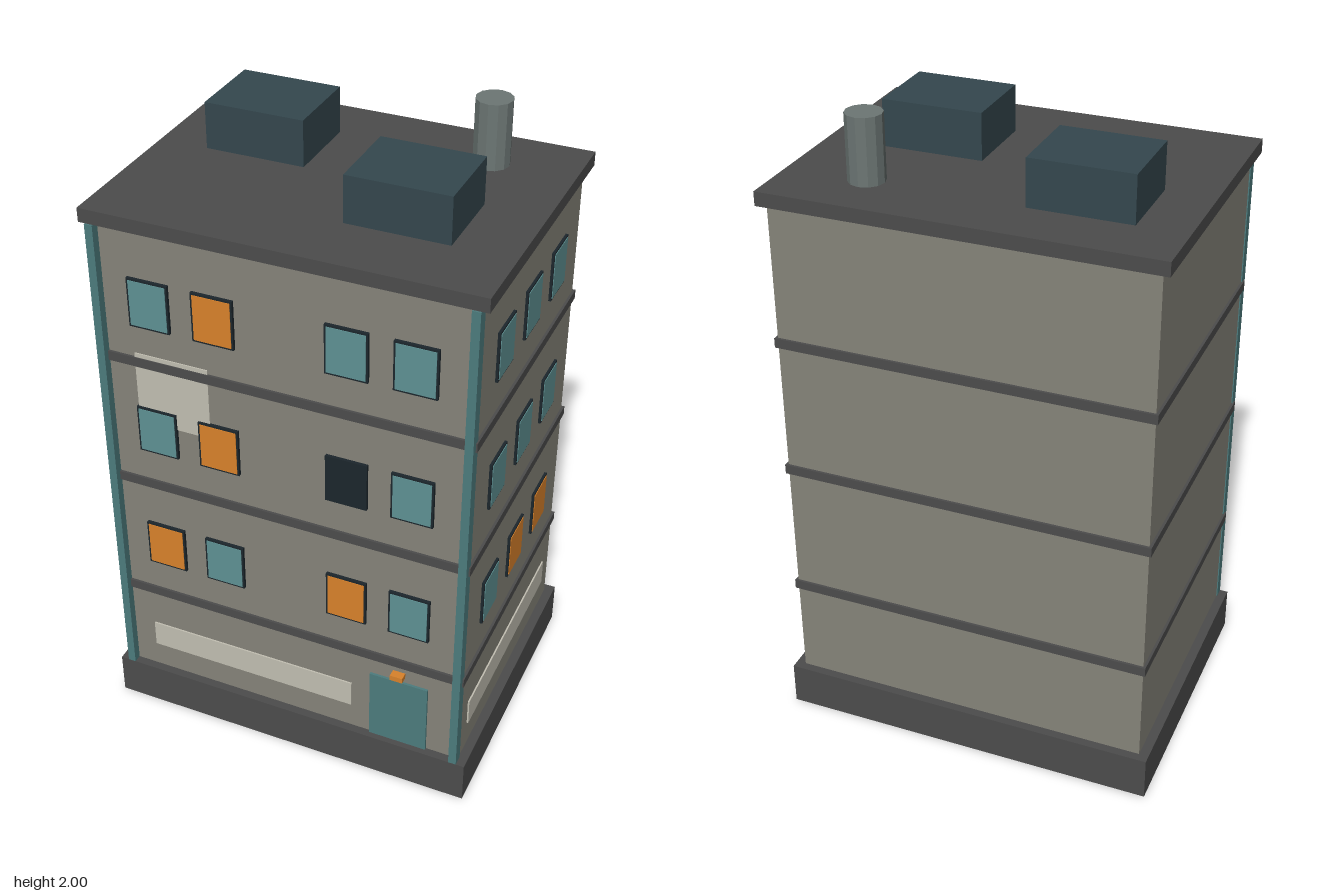
import * as THREE from 'three';

const material = (color) => new THREE.MeshStandardMaterial({ color, flatShading: true });

export function createModel() {
  const model = new THREE.Group();
  model.name = 'apartmentBlock';

  const wall = material(0x86847a);
  const stone = material(0x4c4c4c);
  const frame = material(0x1c262c);
  const glass = material(0x5f9294);
  const lit = material(0xd9822b);
  const teal = material(0x4d7c7e);
  const plaster = material(0xc2bfb2);
  const unit = material(0x34474e);
  const metal = material(0x6c7674);

  // Box given by its lower and upper limits on each axis
  function box(name, mat, [x0, x1], [y0, y1], [z0, z1], parent = model) {
    const mesh = new THREE.Mesh(new THREE.BoxGeometry(x1 - x0, y1 - y0, z1 - z0), mat);
    mesh.position.set((x0 + x1) / 2, (y0 + y1) / 2, (z0 + z1) / 2);
    mesh.name = name;
    parent.add(mesh);
    return mesh;
  }

  // Main masses
  box('base', stone, [-0.6, 0.6], [0, 0.14], [-0.455, 0.455]);
  box('walls', wall, [-0.57, 0.57], [0.14, 1.757], [-0.428, 0.428]);
  box('roofSlab', stone, [-0.595, 0.595], [1.757, 1.8], [-0.45, 0.45]);
  for (const y of [0.465, 0.895, 1.327]) {
    box('floorBand', stone, [-0.578, 0.578], [y - 0.015, y + 0.015], [-0.436, 0.436]);
  }

  // Corner strips on the front
  for (const side of [-1, 1]) {
    const x = side * 0.561;
    box('cornerStrip', teal, [x - 0.0125, x + 0.0125], [0.14, 1.757], [0.42, 0.455]);
  }

  // Window facing +z in its own group: dark frame with a pane just in front
  function addWindow(x, y, z, turn, paneMaterial) {
    const group = new THREE.Group();
    group.name = 'window';
    box('windowFrame', frame, [-0.064, 0.064], [-0.078, 0.078], [-0.008, 0.008], group);
    if (paneMaterial) box('windowPane', paneMaterial, [-0.058, 0.058], [-0.072, 0.072], [0, 0.01], group);
    group.position.set(x, y, z);
    group.rotation.y = turn;
    model.add(group);
  }

  // Rows from bottom to top: g = glass, o = lit, d = dark
  const panes = { g: glass, o: lit, d: null };
  const floors = [0.664, 1.095, 1.527];
  const frontRows = ['ogog', 'godg', 'gogg'];
  const sideRows = ['goo', 'ggg', 'ggg'];
  floors.forEach((y, row) => {
    [-0.403, -0.203, 0.198, 0.398].forEach((x, i) =>
      addWindow(x, y, 0.43, 0, panes[frontRows[row][i]]));
    [0.23, 0, -0.23].forEach((z, i) =>
      addWindow(0.57, y, z, Math.PI / 2, panes[sideRows[row][i]]));
  });

  // Ground floor panels, door and lamp
  box('frontPanel', plaster, [-0.475, 0.215], [0.23, 0.32], [0.42, 0.433]);
  box('sidePanel', plaster, [0.56, 0.575], [0.23, 0.32], [-0.36, 0.36]);
  box('wallPatch', plaster, [-0.463, -0.23], [1.12, 1.355], [0.42, 0.432]);
  box('door', teal, [0.277, 0.465], [0.14, 0.39], [0.42, 0.436]);
  box('doorLamp', lit, [0.35, 0.39], [0.409, 0.427], [0.42, 0.454]);

  // Roof equipment
  box('roofUnit', unit, [-0.443, -0.134], [1.8, 1.943], [-0.274, -0.02]);
  box('roofUnit', unit, [0.102, 0.411], [1.8, 1.943], [-0.016, 0.238]);
  const pipe = new THREE.Mesh(new THREE.CylinderGeometry(0.055, 0.055, 0.2, 12), metal);
  pipe.position.set(0.343, 1.9, -0.262);
  pipe.name = 'roofVent';
  model.add(pipe);

  return model;
}
